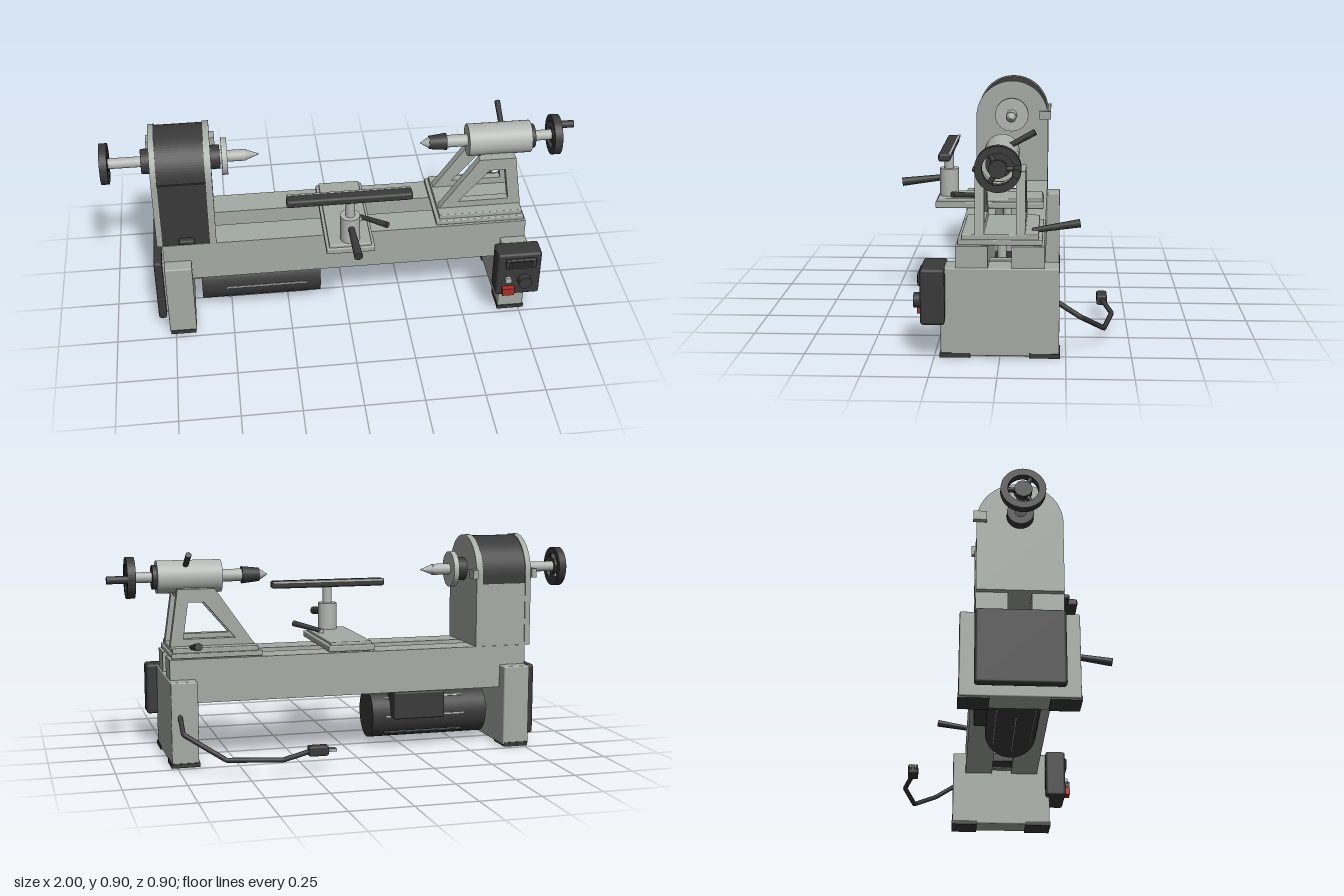
import * as THREE from 'three';
import { RoundedBoxGeometry } from 'three/addons/geometries/RoundedBoxGeometry.js';

const mat = (name, color) => Object.assign(new THREE.MeshStandardMaterial({ color }), { name });
const V = (p) => new THREE.Vector3(...p);

export function createModel() {
  const paint = mat('grey paint', 0xa4aaa4);
  const steel = mat('bright steel', 0xb2b6b2);
  const black = mat('black plastic', 0x393939);
  const dark = mat('dark display', 0x262626);
  const red = mat('red switch', 0xb02c24);
  const model = new THREE.Group();
  model.name = 'woodLathe';

  const add = (name, geo, m) => {
    const mesh = new THREE.Mesh(geo, m);
    mesh.name = name;
    model.add(mesh);
    return mesh;
  };
  // Box given by its limits; r > 0 rounds the edges
  const box = (name, m, x0, x1, y0, y1, z0, z1, r = 0) => {
    const s = [x1 - x0, y1 - y0, z1 - z0];
    const geo = r ? new RoundedBoxGeometry(...s, 2, r) : new THREE.BoxGeometry(...s);
    return add(name, geo.translate((x0 + x1) / 2, (y0 + y1) / 2, (z0 + z1) / 2), m);
  };
  // Round bar between two points
  const rod = (name, m, a, b, r0, r1 = r0, sides = 24) => {
    const p = V(a), d = V(b).sub(p);
    const geo = new THREE.CylinderGeometry(r1, r0, d.length(), sides);
    geo.translate(0, d.length() / 2, 0);
    geo.applyQuaternion(new THREE.Quaternion().setFromUnitVectors(new THREE.Vector3(0, 1, 0), d.normalize()));
    return add(name, geo.translate(p.x, p.y, p.z), m);
  };
  // Bar along x on the spindle axis
  const AY = 0.753;
  const axial = (name, m, x0, x1, r0, r1 = r0) => rod(name, m, [x0, AY, 0], [x1, AY, 0], r0, r1, 32);
  // Extrude a (z, y) outline along x
  const extrudeX = (name, m, shape, x0, x1) => {
    const geo = new THREE.ExtrudeGeometry(shape, { depth: x1 - x0, bevelEnabled: false, curveSegments: 24 });
    return add(name, geo.rotateY(-Math.PI / 2).translate(x1, 0, 0), m);
  };

  // Bed: two rails joined by cross ribs
  for (const s of [-1, 1]) {
    box('bedRail', paint, -0.775, 0.765, 0.252, 0.433, s > 0 ? 0.045 : -0.167, s > 0 ? 0.167 : -0.045);
  }
  for (const x of [-0.62, 0.1, 0.6]) box('bedRib', paint, x, x + 0.04, 0.26, 0.35, -0.05, 0.05);

  // Legs and feet
  for (const [x0, x1] of [[-0.775, -0.66], [0.66, 0.77]]) {
    box('leg', paint, x0, x1, 0.006, 0.35, -0.225, 0.225, 0.006);
    const e = x0 > 0 ? 0.003 : -0.004;
    for (const s of [-1, 1]) {
      box('foot', black, x0 - e, x1 + e, 0, 0.018, s > 0 ? 0.112 : -0.228, s > 0 ? 0.228 : -0.112);
    }
  }
  box('beltCover', black, -0.82, -0.785, 0.04, 0.345, -0.17, 0.17, 0.012);
  box('beltCoverMount', paint, -0.787, -0.77, 0.06, 0.33, -0.15, 0.15);

  // Headstock: arched end plates with a cover between them
  const arch = (r, bottom) => {
    const s = new THREE.Shape();
    s.moveTo(-r, bottom).lineTo(r, bottom).lineTo(r, 0.735);
    s.absarc(0, 0.735, r, 0, Math.PI, false);
    return s.closePath();
  };
  extrudeX('headstockEndPlate', paint, arch(0.167, 0.433), -0.797, -0.773);
  extrudeX('headstockEndPlate', paint, arch(0.167, 0.433), -0.577, -0.55);
  extrudeX('headstockCover', black, arch(0.162, 0.7), -0.773, -0.577);
  box('headstockBody', paint, -0.773, -0.577, 0.433, 0.7, -0.163, 0.15);
  box('headstockFrontPanel', black, -0.773, -0.577, 0.438, 0.74, 0.148, 0.169);
  box('panelHandle', black, -0.705, -0.64, 0.452, 0.474, 0.165, 0.195, 0.008);
  for (const x of [-0.818, -0.552]) box('coverHinge', paint, x, x + 0.022, 0.725, 0.763, -0.18, -0.128);

  // Spindle
  axial('spindleCollar', black, -0.835, -0.797, 0.052);
  axial('spindleShaft', steel, -0.98, -0.83, 0.022);
  axial('spindleNose', black, -0.55, -0.512, 0.05);
  axial('spindleNeck', steel, -0.515, -0.495, 0.03);
  axial('faceplate', steel, -0.505, -0.482, 0.077);
  axial('spurCentre', steel, -0.485, -0.405, 0.024);
  axial('spurPoint', steel, -0.405, -0.35, 0.022, 0.001);

  // Handwheels: rim, hub and three spokes
  const handwheel = (x0, x1) => {
    const rim = new THREE.Shape().absarc(0, AY, 0.085, 0, Math.PI * 2, false);
    rim.holes.push(new THREE.Path().absarc(0, AY, 0.058, 0, Math.PI * 2, true));
    extrudeX('handwheelRim', black, rim, x0, x1);
    axial('handwheelHub', black, x0 + 0.002, x1, 0.034);
    const xm = (x0 + x1) / 2;
    for (let i = 0; i < 3; i++) {
      const a = Math.PI + i * Math.PI * 2 / 3;
      rod('handwheelSpoke', black, [xm, AY, 0], [xm, AY + 0.07 * Math.sin(a), 0.07 * Math.cos(a)], 0.01, 0.01, 12);
    }
  };
  handwheel(-1, -0.968);
  handwheel(0.882, 0.916);
  rod('crankHandle', black, [0.91, AY, -0.07], [1, AY, -0.07], 0.016);

  // Motor under the bed
  const motor = (name, m, x0, x1, r) => rod(name, m, [x0, 0.135, 0], [x1, 0.135, 0], r, r, 32);
  motor('motorBody', black, -0.625, -0.11, 0.105);
  motor('motorShaft', steel, -0.67, -0.62, 0.02);
  for (let i = 0; i < 8; i++) {
    const strip = new THREE.BoxGeometry(0.35, 0.006, 0.008).translate(-0.345, 0, 0.103);
    strip.rotateX(Math.PI / 4 * i).translate(0, 0.135, 0);
    add('motorStrip', strip, steel);
  }
  box('motorBox', black, -0.415, -0.19, 0.13, 0.248, -0.155, -0.01, 0.008);

  // Tool rest: sliding base, post and bar
  box('toolRestBase', paint, -0.103, 0.098, 0.435, 0.462, -0.155, 0.303, 0.005);
  box('toolRestBaseTop', paint, -0.09, 0.085, 0.455, 0.475, -0.15, 0.295, 0.005);
  rod('toolRestSocket', steel, [0, 0.47, 0.25], [0, 0.592, 0.25], 0.041);
  rod('toolRestPost', steel, [0, 0.59, 0.25], [0, 0.67, 0.25], 0.02);
  box('toolRestBar', black, -0.26, 0.255, 0.662, 0.695, 0.225, 0.275, 0.01);
  box('toolRestLip', steel, -0.255, 0.25, 0.686, 0.695, 0.221, 0.23);
  rod('toolRestLever', black, [0, 0.55, 0.28], [0.01, 0.531, 0.45], 0.013, 0.018);
  rod('baseLockLever', black, [0.06, 0.485, 0.125], [0.16, 0.507, 0.225], 0.009, 0.013);
  rod('baseLockPin', steel, [0.06, 0.47, 0.13], [0.06, 0.492, 0.13], 0.012);

  // Clamp bolts below the sliding parts
  for (const x of [0, 0.57]) {
    rod('clampBolt', steel, [x, 0.28, 0], [x, 0.44, 0], 0.018);
    box('clampPlate', black, x - 0.05, x + 0.05, 0.26, 0.3, -0.044, 0.044);
  }

  // Tailstock: stepped base, two open side frames and barrel
  box('tailstockBase', paint, 0.38, 0.757, 0.435, 0.456, -0.16, 0.16, 0.004);
  box('tailstockBaseTop', paint, 0.395, 0.75, 0.452, 0.476, -0.145, 0.145, 0.004);
  const poly = (Type, pts) => new Type(pts.map(([x, y]) => new THREE.Vector2(x, y)));
  const frame = poly(THREE.Shape, [[0.4, 0.474], [0.752, 0.474], [0.718, 0.71], [0.565, 0.71]]);
  frame.holes.push(poly(THREE.Path, [[0.482, 0.505], [0.61, 0.655], [0.676, 0.655], [0.697, 0.505]]));
  for (const z of [-0.095, 0.06]) {
    const geo = new THREE.ExtrudeGeometry(frame, { depth: 0.035, bevelEnabled: false });
    add('tailstockFrame', geo.translate(0, 0, z), paint);
  }
  box('tailstockSaddle', paint, 0.575, 0.716, 0.67, 0.71, -0.09, 0.09);
  axial('tailstockBarrel', steel, 0.525, 0.792, 0.068);
  axial('quill', steel, 0.43, 0.53, 0.026);
  axial('centreHolder', black, 0.362, 0.436, 0.028, 0.036);
  axial('centrePoint', steel, 0.364, 0.325, 0.026, 0.001);
  axial('barrelCollar', black, 0.79, 0.81, 0.05);
  axial('feedScrew', steel, 0.805, 0.89, 0.022);
  rod('quillLockLever', black, [0.675, 0.8, -0.035], [0.675, 0.853, -0.13], 0.011, 0.012);
  rod('tailstockLockLever', black, [0.668, 0.474, -0.12], [0.668, 0.504, -0.302], 0.01, 0.016);

  // Control box
  box('controlBox', black, 0.625, 0.815, 0.138, 0.355, 0.206, 0.298, 0.012);
  box('displayFrame', black, 0.66, 0.79, 0.284, 0.333, 0.29, 0.308, 0.004);
  box('display', dark, 0.672, 0.778, 0.294, 0.323, 0.3, 0.31);
  rod('speedKnob', black, [0.745, 0.218, 0.29], [0.745, 0.218, 0.327], 0.029);
  rod('directionKnob', steel, [0.675, 0.225, 0.29], [0.675, 0.225, 0.312], 0.014);
  box('stopSwitch', red, 0.65, 0.702, 0.152, 0.187, 0.29, 0.32);

  // Power cable and plug
  const pts = [[0.735, 0.21, -0.22], [0.735, 0.155, -0.305], [0.58, 0.064, -0.4], [0.36, 0.06, -0.438], [0.24, 0.08, -0.403]];
  const cable = new THREE.CurvePath();
  for (let i = 1; i < pts.length; i++) cable.add(new THREE.LineCurve3(V(pts[i - 1]), V(pts[i])));
  add('powerCable', new THREE.TubeGeometry(cable, 60, 0.01, 10), black);
  box('plug', black, 0.168, 0.25, 0.06, 0.102, -0.423, -0.38, 0.008);
  for (const z of [-0.412, -0.391]) box('plugPin', steel, 0.135, 0.17, 0.075, 0.087, z - 0.004, z + 0.004);

  return model;
}
